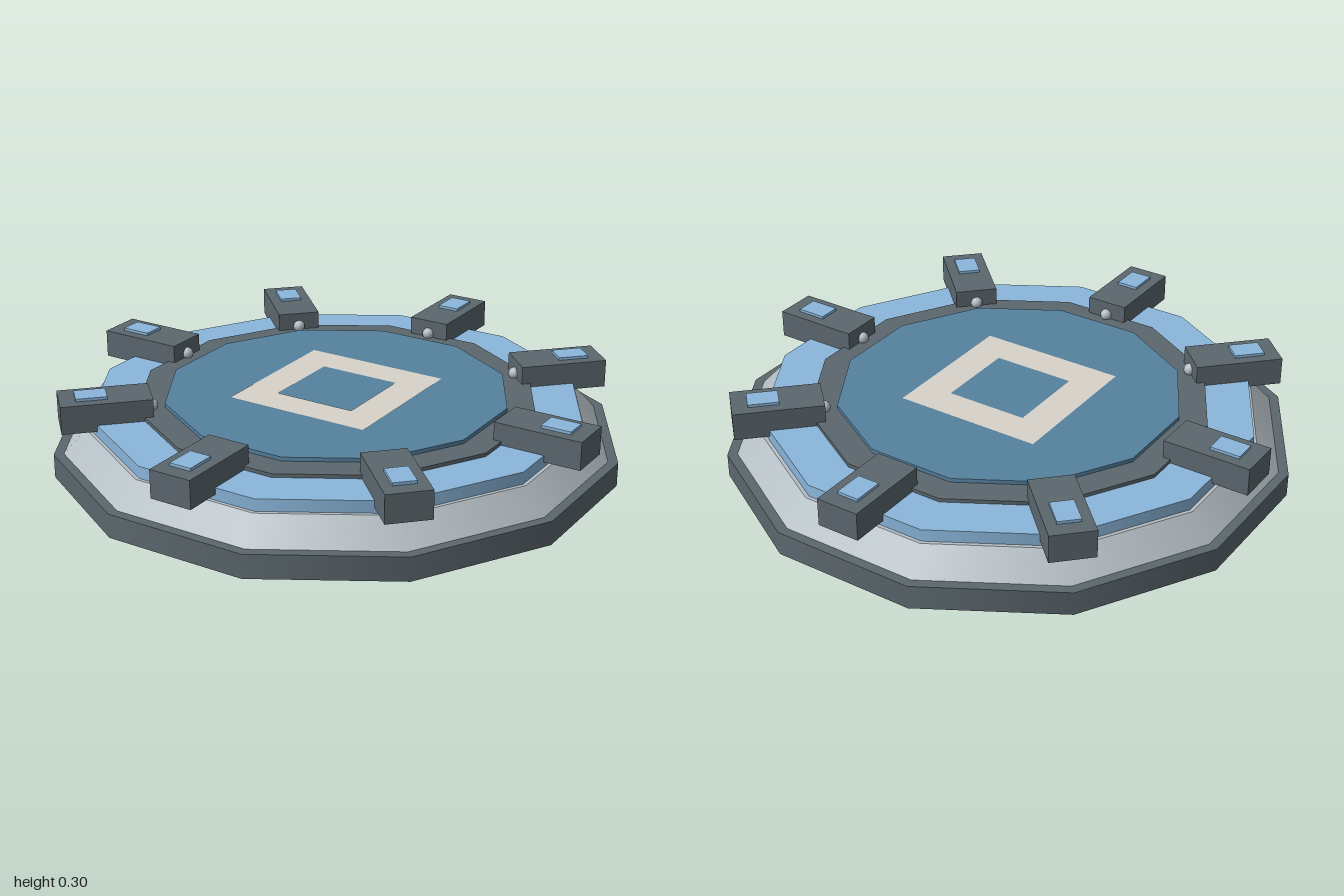
import * as THREE from 'three';

const mat = (color) => new THREE.MeshStandardMaterial({ color });
const SIDES = 12;

export function createModel() {
  const model = new THREE.Group();
  model.name = 'landingPad';
  const dark = mat(0x5b676e), pale = mat(0xb4bec4), sky = mat(0x8ab6db);
  const deck = mat(0x55819f), cream = mat(0xd8d4ca);

  const add = (parent, name, geometry, material, x = 0, y = 0, z = 0) => {
    const mesh = new THREE.Mesh(geometry, material);
    mesh.name = name;
    mesh.position.set(x, y, z);
    parent.add(mesh);
    return mesh;
  };

  // Stacked twelve-sided tiers: name, bottom radius, top radius, bottom y, top y
  const tiers = [
    ['base', 1, 1, 0, 0.085, dark],
    ['slopedSkirt', 0.965, 0.885, 0.085, 0.17, pale],
    ['blueTier', 0.872, 0.872, 0.17, 0.213, sky],
    ['innerRim', 0.71, 0.71, 0.2, 0.226, dark],
    ['deck', 0.61, 0.61, 0.21, 0.24, deck],
  ];
  for (const [name, r0, r1, y0, y1, material] of tiers) {
    add(model, name, new THREE.CylinderGeometry(r1, r0, y1 - y0, SIDES), material, 0, (y0 + y1) / 2);
  }

  // Diamond frame painted on the deck
  const diamond = add(model, 'diamondMarking', new THREE.RingGeometry(0.212, 0.382, 4, 1), cream, 0, 0.242);
  diamond.rotation.x = -Math.PI / 2;

  // Eight radial blocks, each with a light panel on top and a small lamp inside
  const blockGeo = new THREE.BoxGeometry(0.315, 0.1, 0.155);
  const panelGeo = new THREE.BoxGeometry(0.108, 0.02, 0.08);
  const lampGeo = new THREE.SphereGeometry(0.022, 12, 8);
  for (let i = 0; i < 8; i++) {
    const clamp = new THREE.Group();
    clamp.name = 'clamp' + (i + 1);
    add(clamp, 'block', blockGeo, dark, 0.815, 0.24);
    add(clamp, 'lightPanel', panelGeo, sky, 0.863, 0.29);
    add(clamp, 'lamp', lampGeo, pale, 0.655, 0.24);
    clamp.rotation.y = (i * Math.PI) / 4;
    model.add(clamp);
  }
  return model;
}
